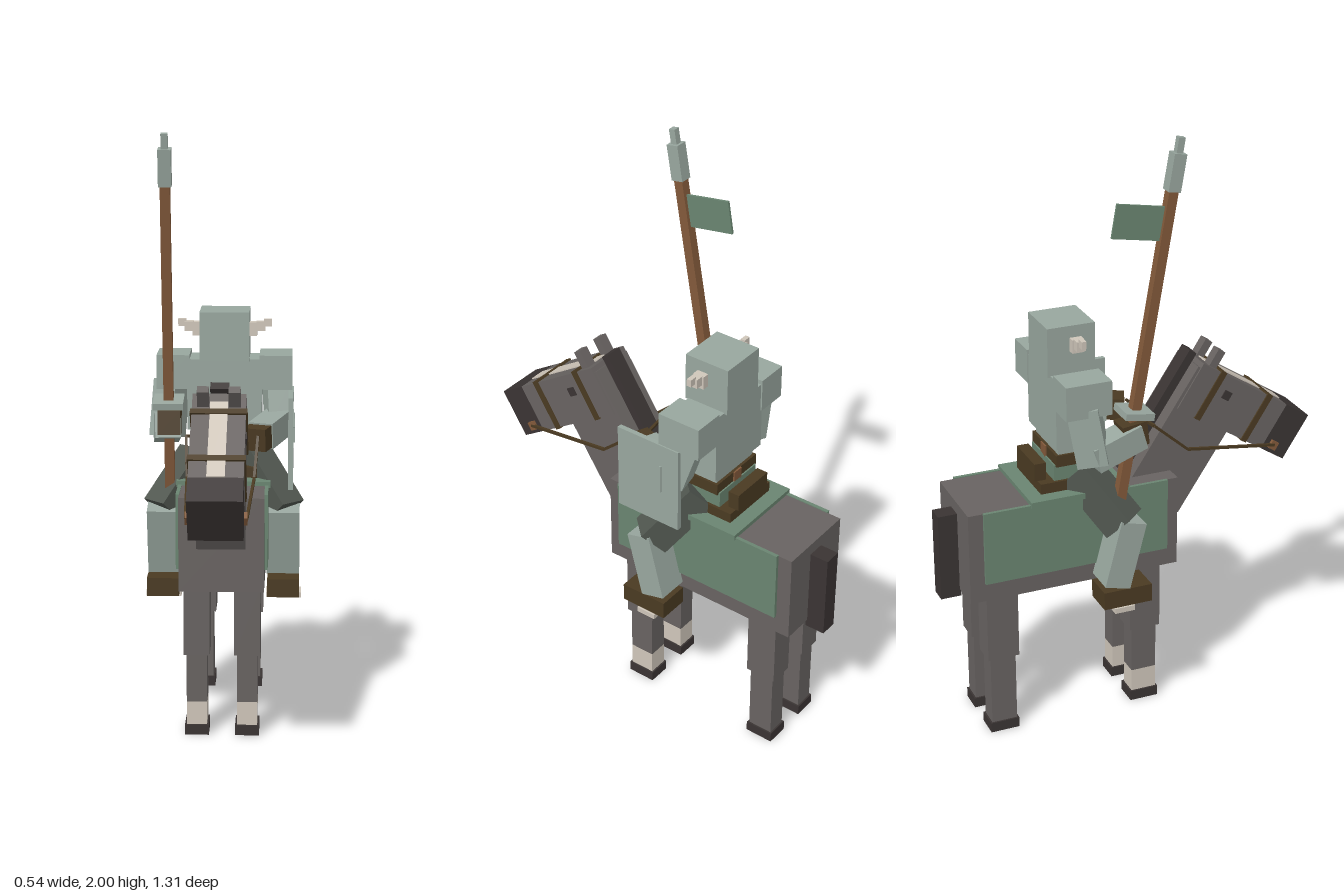
import * as THREE from 'three';

const mat = (name, color, side = THREE.FrontSide) => {
  const m = new THREE.MeshStandardMaterial({ color, side });
  m.name = name;
  return m;
};

export function createModel() {
  const coat = mat('horse coat', 0x686361);
  const dark = mat('dark hair', 0x3a3433);
  const white = mat('ivory', 0xcfc6ba);
  const green = mat('green cloth', 0x6a8571, THREE.DoubleSide);
  const steel = mat('steel', 0x98a69e);
  const leather = mat('leather', 0x4a3a22);
  const wood = mat('wood', 0x82593a);
  const mail = mat('dark mail', 0x50564f);

  const model = new THREE.Group();
  model.name = 'mountedKnight';

  // Box given by its ranges on each axis
  const box = (name, m, [x0, x1], [y0, y1], [z0, z1], parent = model) => {
    const mesh = new THREE.Mesh(new THREE.BoxGeometry(x1 - x0, y1 - y0, z1 - z0), m);
    mesh.position.set((x0 + x1) / 2, (y0 + y1) / 2, (z0 + z1) / 2);
    mesh.name = name;
    parent.add(mesh);
    return mesh;
  };
  const mid = (w) => [-w, w];
  // Box stretched between two points
  const beam = (name, m, a, b, w, h) => {
    const A = new THREE.Vector3(...a), B = new THREE.Vector3(...b);
    const mesh = new THREE.Mesh(new THREE.BoxGeometry(w, h, A.distanceTo(B)), m);
    mesh.position.copy(A).lerp(B, 0.5);
    mesh.lookAt(B);
    mesh.name = name;
    model.add(mesh);
    return mesh;
  };
  const group = (name, x, y, z, tilt) => {
    const g = new THREE.Group();
    g.name = name;
    g.position.set(x, y, z);
    g.rotation.x = tilt;
    model.add(g);
    return g;
  };
  // Range mirrored to side s
  const side = (s, a, b) => (s > 0 ? [a, b] : [-b, -a]);

  // Horse body, cloth and tail
  box('horseBody', coat, mid(0.14), [0.515, 0.83], [-0.59, 0.14]);
  box('tail', dark, mid(0.03), [0.49, 0.79], [-0.655, -0.585]);
  box('blanketTop', green, mid(0.157), [0.825, 0.845], [-0.38, -0.04]);
  box('bellyCloth', green, mid(0.13), [0.511, 0.516], [-0.4, -0.04]);

  // Horse legs
  for (const s of [1, -1]) {
    box('blanketSide', green, side(s, 0.139, 0.151), [0.58, 0.833], [-0.54, 0.1]);
    for (const z of [0.03, -0.478]) {
      const front = z > 0;
      const x = (w) => side(s, 0.084 - w, 0.084 + w);
      const d = (w) => [z - w, z + w];
      box('upperLeg', coat, x(0.043), [0.28, 0.516], d(0.054));
      box('lowerLeg', coat, x(0.034), [front ? 0.115 : 0.035, 0.28], d(0.044));
      if (front) box('sock', white, x(0.034), [0.035, 0.115], d(0.044));
      box('hoof', dark, x(0.04), [0, 0.035], d(0.05));
    }
  }

  // Neck and mane
  const neck = group('neck', 0, 0.667, 0.17, 0.585);
  box('neckBlock', coat, mid(0.08), [0, 0.47], [-0.23, 0], neck);
  box('mane', dark, mid(0.03), [0.04, 0.5], [-0.26, -0.23], neck);

  // Head with its bridle; its origin is the top of the nose
  const head = group('head', 0, 0.942, 0.651, 0.57);
  box('skull', coat, mid(0.085), [-0.172, 0], [-0.47, -0.1], head);
  box('muzzle', dark, mid(0.085), [-0.172, 0], [-0.1, 0], head);
  box('blaze', white, mid(0.028), [0, 0.004], [-0.43, -0.1], head);
  for (const t of [0.18, 0.385]) {
    box('bridleStrap', leather, mid(0.09), [-0.176, 0.006], [-t - 0.011, -t + 0.011], head);
  }
  for (const s of [1, -1]) {
    box('ear', coat, side(s, 0.031, 0.068), [0, 0.062], [-0.437, -0.408], head);
    box('eye', dark, side(s, 0.084, 0.089), [-0.076, -0.046], [-0.345, -0.315], head);
    box('bit', wood, side(s, 0.083, 0.096), [-0.158, -0.128], [-0.08, -0.052], head);
    // Reins
    beam('rein', leather, [s * 0.094, 0.86, 0.52], [s * 0.108, 0.91, 0.19], 0.009, 0.009);
    beam('rein', leather, [s * 0.108, 0.91, 0.19], [s * 0.117, 1.02, 0.065], 0.009, 0.009);
  }
  beam('reinLoop', leather, [-0.117, 1.02, 0.065], [0.117, 1.02, 0.03], 0.009, 0.009);

  // Saddle
  box('saddleSeat', leather, mid(0.11), [0.845, 0.88], [-0.33, -0.1]);
  box('cantle', leather, mid(0.08), [0.88, 0.94], [-0.34, -0.3]);
  box('pommel', leather, mid(0.045), [0.88, 0.95], [-0.13, -0.09]);

  // Rider torso and helmet
  box('tunic', green, mid(0.1), [0.88, 0.935], [-0.28, -0.14]);
  box('belt', leather, mid(0.108), [0.93, 0.97], [-0.275, -0.135]);
  box('beltPouch', wood, mid(0.02), [0.93, 0.97], [-0.28, -0.274]);
  box('waist', steel, mid(0.1), [0.965, 1.03], [-0.265, -0.145]);
  box('breastplate', steel, mid(0.125), [1.0, 1.24], [-0.28, -0.14]);
  box('helmet', steel, mid(0.083), [1.235, 1.4], [-0.29, -0.128]);

  // Horns, shoulders and legs of the rider
  for (const s of [1, -1]) {
    box('hornBase', white, side(s, 0.083, 0.108), [1.315, 1.36], [-0.215, -0.175]);
    box('hornMiddle', white, side(s, 0.105, 0.135), [1.33, 1.362], [-0.21, -0.18]);
    box('hornTip', white, side(s, 0.13, 0.157), [1.345, 1.37], [-0.203, -0.187]);
    box('pauldron', steel, side(s, 0.117, 0.227), [1.14, 1.255], [-0.285, -0.13]);
    beam('thigh', mail, [s * 0.09, 0.9, -0.19], [s * 0.205, 0.735, -0.08], 0.1, 0.11);
    const shin = beam('shin', steel, [s * 0.2, 0.755, -0.065], [s * 0.2, 0.53, -0.123], 0.11, 0.09);
    shin.rotateZ(0);
    box('boot', leather, side(s, 0.148, 0.255), [0.458, 0.52], [-0.17, -0.002]);
    box('stirrup', white, side(s, 0.143, 0.262), [0.44, 0.458], [-0.135, -0.065]);
  }

  // Right arm with the lance
  beam('rightUpperArm', steel, [-0.18, 1.16, -0.21], [-0.195, 0.97, -0.18], 0.085, 0.1);
  beam('rightForearm', steel, [-0.2, 0.99, -0.19], [-0.182, 1.04, -0.02], 0.085, 0.085);
  beam('rightGlove', leather, [-0.178, 1.04, -0.085], [-0.178, 1.05, 0.0], 0.075, 0.08);

  // Left arm with the shield
  beam('leftUpperArm', steel, [0.175, 1.16, -0.21], [0.185, 1.0, -0.16], 0.085, 0.1);
  beam('leftForearm', steel, [0.19, 1.03, -0.17], [0.125, 1.01, 0.0], 0.085, 0.085);
  beam('leftGlove', leather, [0.127, 1.01, -0.005], [0.105, 1.005, 0.05], 0.078, 0.075);
  box('shield', steel, [0.215, 0.232], [0.835, 1.14], [-0.21, 0.03]);
  box('shieldRib', steel, [0.232, 0.237], [0.96, 1.06], [-0.145, -0.138]);

  // Lance, leaning forward
  const lance = group('lance', -0.18, 1.137, -0.03, 0.17);
  box('shaft', wood, mid(0.016), [-0.35, 0.71], mid(0.016), lance);
  box('handGuard', steel, mid(0.05), [-0.035, -0.012], mid(0.05), lance);
  box('lanceHead', steel, mid(0.021), [0.705, 0.825], mid(0.021), lance);
  box('lanceTip', steel, mid(0.011), [0.825, 0.874], mid(0.011), lance);
  box('pennant', green, mid(0.004), [0.545, 0.655], [-0.178, -0.012], lance);

  return model;
}
